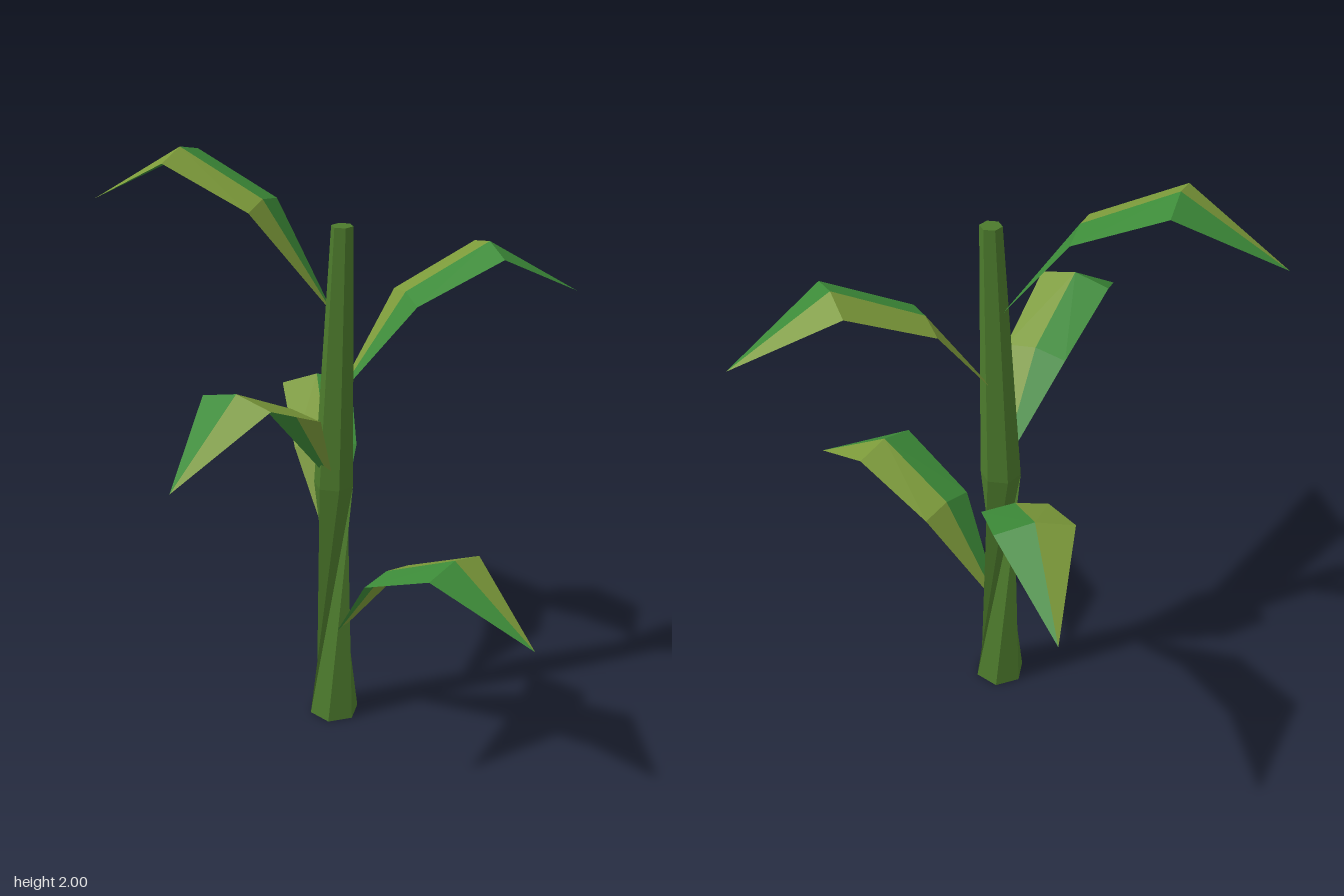
import * as THREE from 'three';

const mat = (color, side = THREE.FrontSide) =>
  new THREE.MeshStandardMaterial({ color, flatShading: true, side });

function meshFrom(name, points, indices, material) {
  let geo = new THREE.BufferGeometry().setFromPoints(points);
  geo.setIndex(indices);
  geo = geo.toNonIndexed();
  geo.computeVertexNormals();
  const mesh = new THREE.Mesh(geo, material);
  mesh.name = name;
  return mesh;
}

// Six-sided tapering stalk, twisted a quarter turn in its lower half
function makeStalk() {
  const rings = [
    { x: -0.03, y: 0, r: 0.088, turn: 0 },
    { x: -0.034, y: 0.9, r: 0.068, turn: -Math.PI / 2 },
    { x: 0.003, y: 1.8, r: 0.036, turn: -Math.PI / 2 },
  ];
  const n = 6, z = -0.045, points = [], idx = [];
  for (const { x, y, r, turn } of rings)
    for (let k = 0; k < n; k++) {
      const a = turn + (k / n) * Math.PI * 2;
      points.push(new THREE.Vector3(x + r * Math.cos(a), y, z + r * Math.sin(a)));
    }
  for (let i = 0; i < rings.length - 1; i++)
    for (let k = 0; k < n; k++) {
      const a = i * n + k, b = i * n + ((k + 1) % n);
      idx.push(a, a + n, b, a + n, b + n, b);
    }
  // End caps
  const top = (rings.length - 1) * n;
  for (let k = 1; k < n - 1; k++)
    idx.push(0, k, k + 1, top, top + k + 1, top + k);
  return meshFrom('stalk', points, idx, mat(0x4c7a2c));
}

// Leaf sections: distance out, ridge height, edge height, half width
const sections = [
  [0, 0, 0, 0],
  [0.245, 0.355, 0.335, 0.11],
  [0.535, 0.5, 0.47, 0.126],
  [0.865, 0.3, 0.3, 0],
];

// One half of a leaf, from the raised midrib out to the edge
function makeLeafHalf(name, side, material) {
  const points = [], idx = [];
  for (const [x, ridge, edge, w] of sections)
    points.push(new THREE.Vector3(x, ridge, 0), new THREE.Vector3(x, edge, side * w));
  const tri = (a, b, c) => idx.push(...(side > 0 ? [a, b, c] : [a, c, b]));
  tri(0, 3, 2);
  tri(2, 3, 4);
  tri(3, 5, 4);
  tri(4, 5, 6);
  return meshFrom(name, points, idx, material);
}

export function createModel() {
  const model = new THREE.Group();
  model.name = 'plant';
  model.add(makeStalk());

  const green = mat(0x3c8a38, THREE.DoubleSide);
  const yellowGreen = mat(0x7c9a3a, THREE.DoubleSide);

  // Leaves spiral up the stalk at even steps
  for (let i = 0; i < 5; i++) {
    const leaf = new THREE.Group();
    leaf.name = `leaf${i + 1}`;
    leaf.add(makeLeafHalf('leafRightHalf', 1, green), makeLeafHalf('leafLeftHalf', -1, yellowGreen));
    leaf.position.set(-0.033, 0.3 + 0.3 * i, -0.045);
    leaf.rotation.y = -THREE.MathUtils.degToRad(219.6 * i);
    model.add(leaf);
  }
  return model;
}
